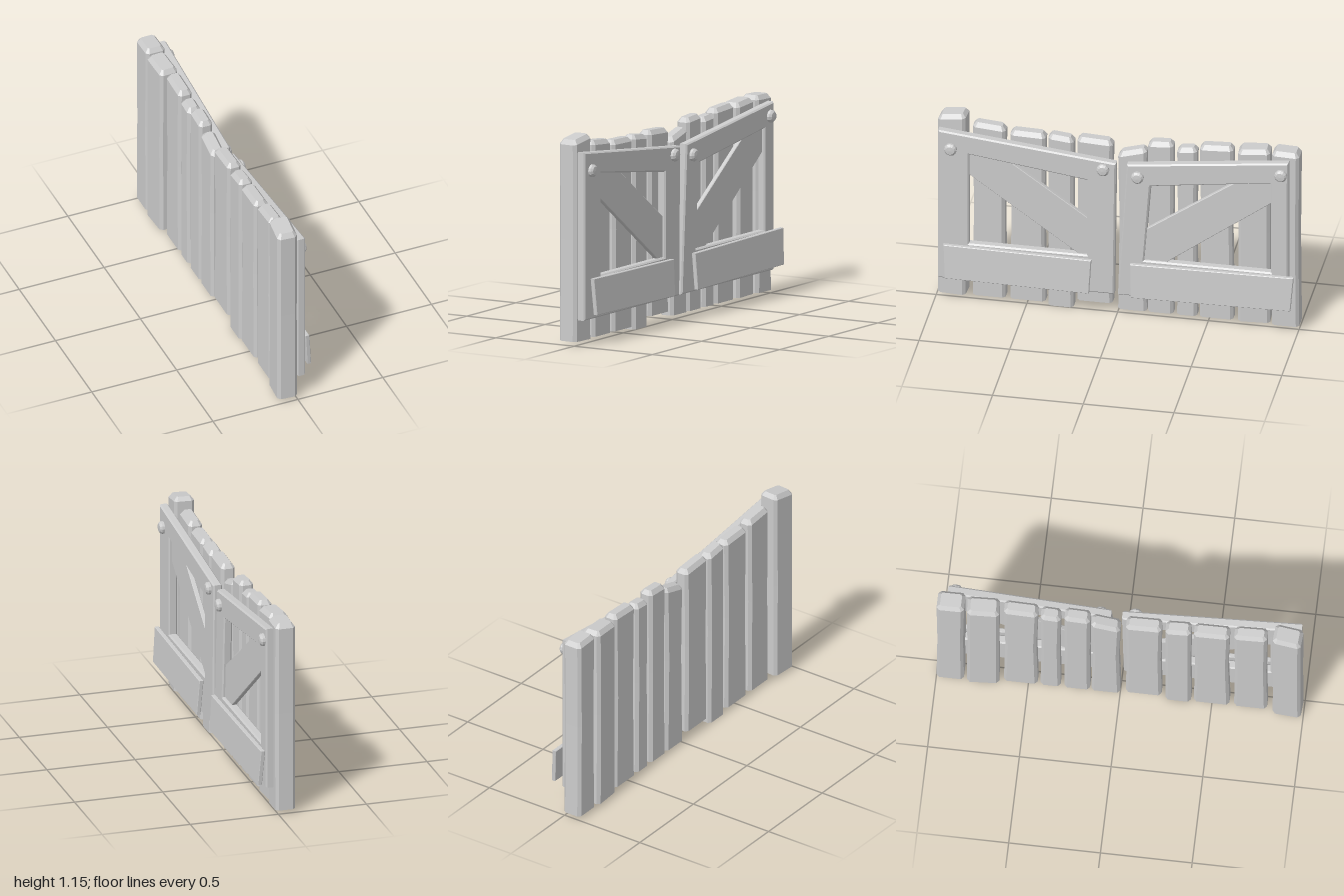
import * as THREE from 'three';

const material = new THREE.MeshStandardMaterial({ color: 0xcccccc, flatShading: true });

// Everything is laid out as seen from the gate's face: u runs along the gate,
// v is up, w is depth towards the viewer. The whole gate is then turned to face +x.
function addMesh(parent, name, geometry) {
  const mesh = new THREE.Mesh(geometry, material);
  mesh.name = name;
  parent.add(mesh);
  return mesh;
}

function polygon(Type, points) {
  return new Type(points.map(([u, v]) => new THREE.Vector2(u, v)));
}

// Flat board cut from an outline, with chamfered edges kept inside the outline
function boardGeometry(outline, thickness, bevel, hole) {
  const shape = polygon(THREE.Shape, outline);
  if (hole) shape.holes.push(polygon(THREE.Path, hole));
  const geometry = new THREE.ExtrudeGeometry(shape, {
    depth: thickness - 2 * bevel, bevelEnabled: true, bevelSegments: 1,
    bevelSize: bevel, bevelThickness: bevel, bevelOffset: -bevel,
  });
  return geometry.translate(0, 0, bevel);
}

// Octagonal cross-section: a rectangle with cut corners
function section(halfU, halfW, cut) {
  return [
    [-halfU + cut, -halfW], [halfU - cut, -halfW], [halfU, -halfW + cut], [halfU, halfW - cut],
    [halfU - cut, halfW], [-halfU + cut, halfW], [-halfU, halfW - cut], [-halfU, -halfW + cut],
  ];
}

// Upright plank: slightly waisted, flat foot, chamfered and sloping head
function plankGeometry(width, depth, bottom, topLeft, topRight, waist) {
  const hu = width / 2, hw = depth / 2, cut = 0.016, chamfer = 0.025;
  const headAt = (u) => THREE.MathUtils.lerp(topLeft, topRight, (u + hu) / width);
  const rings = [
    section(hu, hw, cut).map(([u, w]) => [u, bottom, w]),
    section(hu - waist, hw, cut).map(([u, w]) => [u, 0.58, w]),
    section(hu, hw, cut).map(([u, w]) => [u, headAt(u) - chamfer, w]),
    section(hu - 0.018, hw - 0.018, cut * 0.5).map(([u, w]) => [u, headAt(u), w]),
  ];
  const index = [];
  for (let r = 0; r < rings.length - 1; r++) {
    for (let i = 0; i < 8; i++) {
      const a = r * 8 + i, b = r * 8 + (i + 1) % 8;
      index.push(a, a + 8, b, b, a + 8, b + 8);
    }
  }
  const last = (rings.length - 1) * 8;
  for (let i = 1; i < 7; i++) {
    index.push(0, i, i + 1);
    index.push(last, last + i + 1, last + i);
  }
  const geometry = new THREE.BufferGeometry();
  geometry.setAttribute('position', new THREE.Float32BufferAttribute(rings.flat(2), 3));
  geometry.setIndex(index);
  const flat = geometry.toNonIndexed();
  flat.computeVertexNormals();
  return flat;
}

// u from, u to, foot, head left, head right, back, front, turn
const planks = [
  [-0.99, -0.835, 0.02, 1.125, 1.15, -0.105, 0.008, -0.07],
  [-0.80, -0.62, 0.02, 1.10, 1.085, -0.08, 0, 0],
  [-0.595, -0.40, 0.02, 1.07, 1.065, -0.08, 0, 0],
  [-0.385, -0.245, 0, 1.07, 1.055, -0.08, 0, 0],
  [-0.225, -0.03, 0.05, 1.07, 1.06, -0.08, 0, 0],
  [0, 0.158, 0.02, 0.995, 1.04, -0.08, 0, 0],
  [0.165, 0.305, 0.02, 1.08, 1.09, -0.08, 0, 0],
  [0.325, 0.435, 0.02, 1.06, 1.07, -0.08, 0, 0],
  [0.45, 0.635, 0.02, 1.09, 1.10, -0.08, 0, 0],
  [0.66, 0.835, 0.02, 1.09, 1.10, -0.105, 0.003, 0.06],
  [0.85, 1.0, 0.02, 1.105, 1.10, -0.10, 0.012, 0],
];

const leaves = [
  {
    name: 'leftLeaf',
    frame: [[-0.98, 0.14], [-0.01, 0.14], [0, 0.96], [-0.98, 1.065]],
    opening: [[-0.81, 0.37], [-0.16, 0.37], [-0.16, 0.84], [-0.81, 0.93]],
    brace: [[-0.83, 0.81], [-0.2, 0.36], [-0.15, 0.36], [-0.15, 0.59], [-0.6, 0.91], [-0.83, 0.95]],
    rail: [[-0.935, 0.17], [-0.14, 0.16], [-0.13, 0.36], [-0.945, 0.37]],
    bolts: [[-0.91, 0.957], [-0.07, 0.92]],
  },
  {
    name: 'rightLeaf',
    frame: [[0.01, 0.14], [0.95, 0.14], [0.95, 1.065], [0.06, 0.96]],
    opening: [[0.155, 0.37], [0.855, 0.37], [0.855, 0.93], [0.19, 0.84]],
    brace: [[0.15, 0.36], [0.27, 0.36], [0.87, 0.81], [0.87, 0.95], [0.66, 0.91], [0.15, 0.55]],
    rail: [[0.09, 0.16], [0.97, 0.17], [0.985, 0.37], [0.085, 0.36]],
    bolts: [[0.12, 0.893], [0.91, 0.99]],
  },
];

export function createModel() {
  const model = new THREE.Group();
  model.name = 'plankGate';
  const gate = new THREE.Group();
  gate.name = 'gate';
  gate.rotation.y = Math.PI / 2;
  model.add(gate);

  // Uneven row of upright planks
  planks.forEach(([u0, u1, foot, headLeft, headRight, back, front, turn], i) => {
    const waist = 0.002 + 0.003 * (i % 3);
    const plank = addMesh(gate, `plank${i + 1}`,
      plankGeometry(u1 - u0, front - back, foot, headLeft, headRight, waist));
    plank.position.set((u0 + u1) / 2, 0, (back + front) / 2);
    plank.rotation.y = turn;
  });

  // Dome-topped bolt head
  const boltProfile = [[0, 0.082], [0.024, 0.08], [0.035, 0.069], [0.035, 0.045], [0, 0.045]]
    .reverse().map(([r, h]) => new THREE.Vector2(r, h));
  const boltGeometry = new THREE.LatheGeometry(boltProfile, 12).rotateX(Math.PI / 2);

  for (const part of leaves) {
    const leaf = new THREE.Group();
    leaf.name = part.name;
    gate.add(leaf);

    // Frame with a window, and the diagonal brace set inside it
    addMesh(leaf, 'frame', boardGeometry(part.frame, 0.05, 0.008, part.opening)).position.z = 0.005;
    addMesh(leaf, 'brace', boardGeometry(part.brace, 0.026, 0.003)).position.z = 0.012;

    // Lower rail, leaning out towards its foot
    const rail = boardGeometry(part.rail, 0.024, 0.003);
    const p = rail.attributes.position;
    for (let i = 0; i < p.count; i++) {
      p.setZ(i, p.getZ(i) + 0.069 + (0.37 - p.getY(i)) * 0.07);
    }
    rail.computeVertexNormals();
    addMesh(leaf, 'lowerRail', rail);

    part.bolts.forEach(([u, v]) => addMesh(leaf, 'bolt', boltGeometry).position.set(u, v, 0));
  }
  return model;
}
